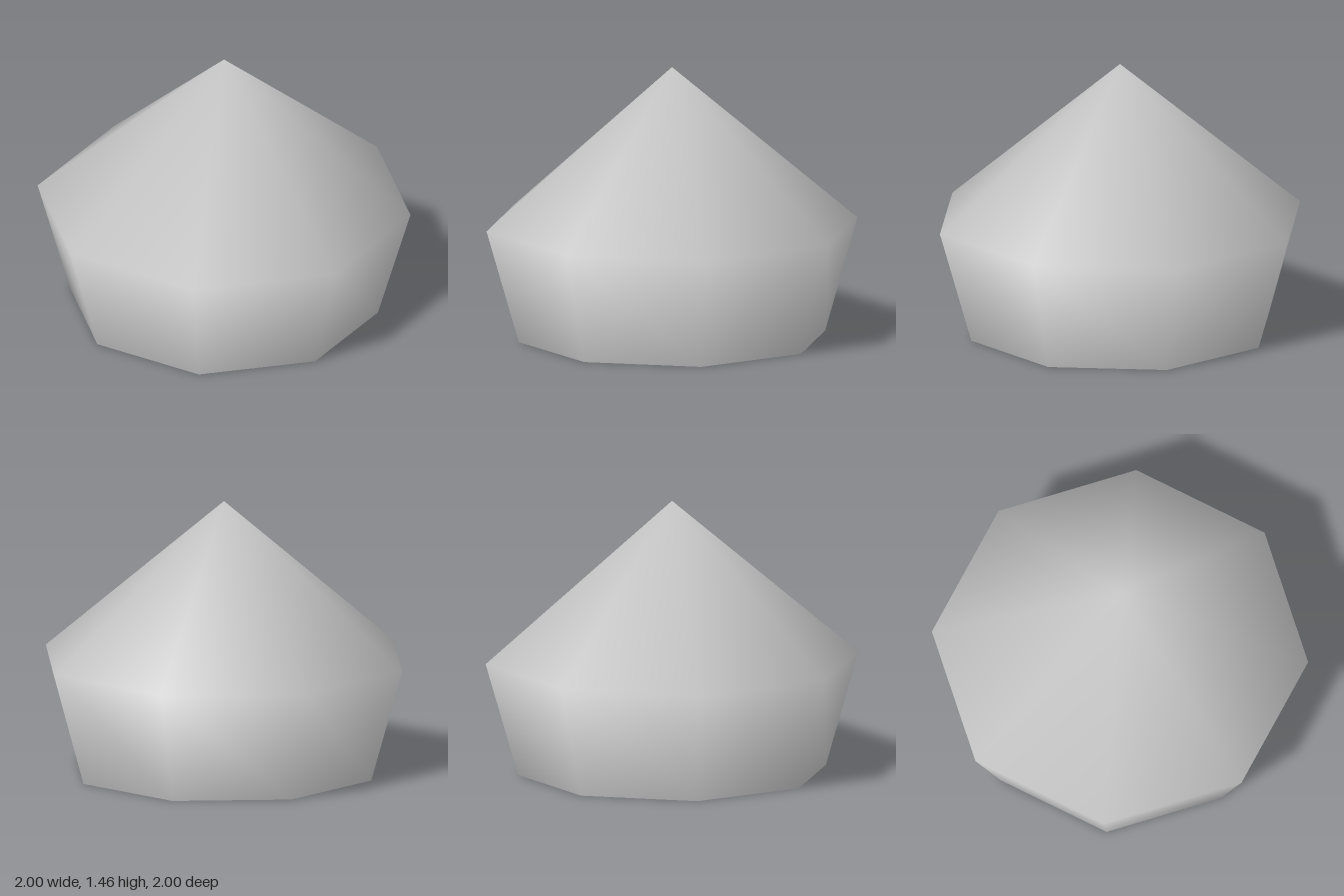
import * as THREE from 'three';
import { mergeVertices } from 'three/addons/utils/BufferGeometryUtils.js';

export function createModel() {
  const group = new THREE.Group();
  const grey = new THREE.MeshStandardMaterial({ color: 0xc8c8c8, side: THREE.DoubleSide });
  grey.name = 'light grey';

  // Eight-sided dome, open below: apex, wide ring and narrower rim
  const sides = 8;
  const rows = [
    { radius: 0, y: 1.455 },
    { radius: 1, y: 0.605 },
    { radius: 0.826, y: 0 },
  ];
  let geometry = new THREE.SphereGeometry(1, sides, rows.length - 1, 0, Math.PI * 2, 0, Math.PI * 0.7);
  const position = geometry.attributes.position;
  for (let i = 0; i < position.count; i++) {
    const { radius, y } = rows[Math.floor(i / (sides + 1))];
    const angle = ((i % (sides + 1)) % sides) / sides * Math.PI * 2;
    position.setXYZ(i, -radius * Math.cos(angle), y, radius * Math.sin(angle));
  }

  // Weld the seam and apex so that shading is smooth all over
  geometry.deleteAttribute('normal');
  geometry.deleteAttribute('uv');
  geometry = mergeVertices(geometry);
  geometry.computeVertexNormals();

  const dome = new THREE.Mesh(geometry, grey);
  dome.name = 'domeShell';
  group.add(dome);
  return group;
}
